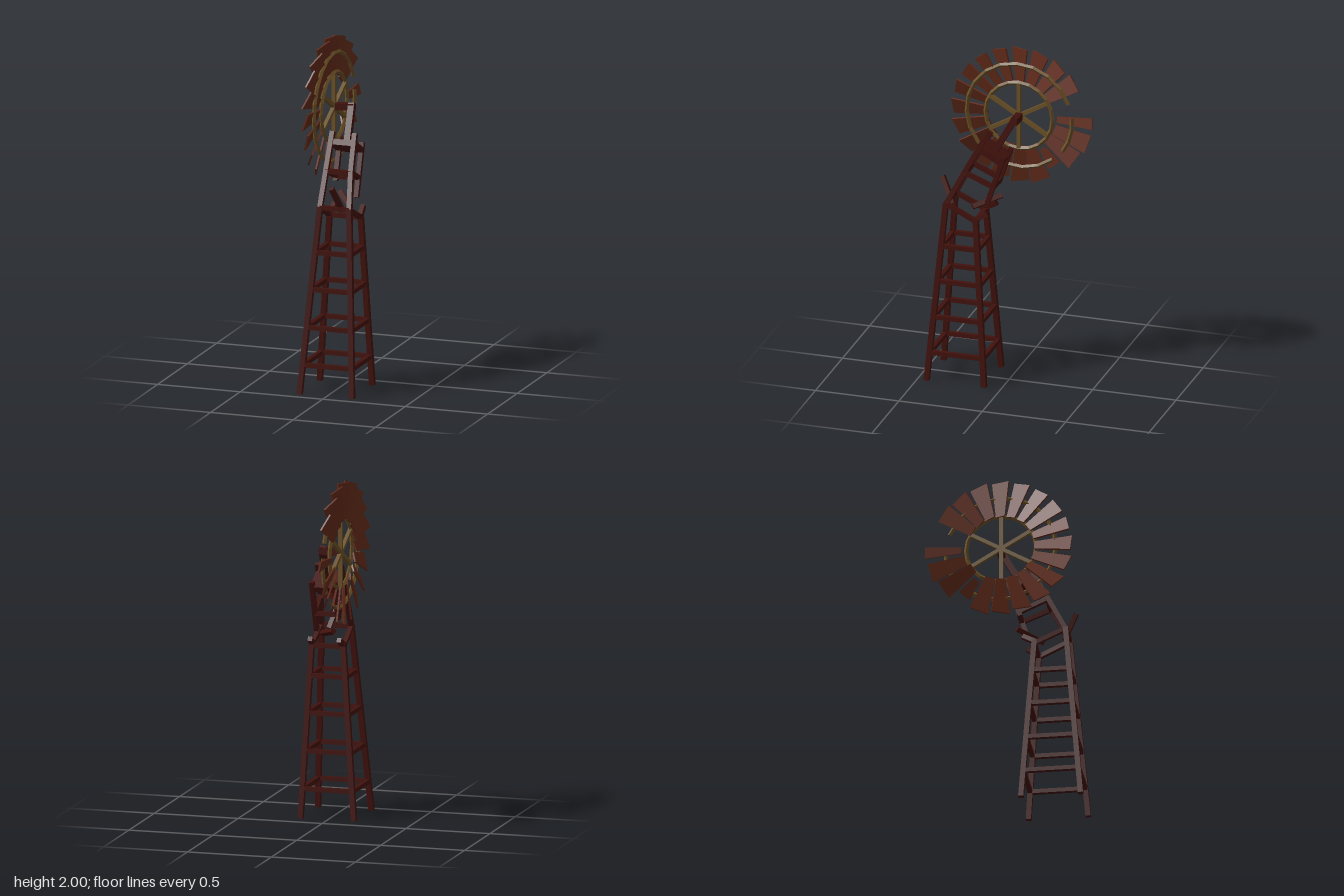
import * as THREE from 'three';

const wood = new THREE.MeshStandardMaterial({ color: 0x41110c, flatShading: true });
const bladeWood = new THREE.MeshStandardMaterial({ color: 0x622a19, flatShading: true });
const brass = new THREE.MeshStandardMaterial({ color: 0x6a5026, flatShading: true });
const UP = new THREE.Vector3(0, 1, 0);
const deg = Math.PI / 180;

// Square timber running from a to b
function beam(parent, name, a, b, w = 0.03, d = w, mat = wood) {
  const p = new THREE.Vector3(...a), q = new THREE.Vector3(...b);
  const dir = q.clone().sub(p);
  const mesh = new THREE.Mesh(new THREE.BoxGeometry(w, dir.length(), d), mat);
  mesh.position.copy(p).add(q).multiplyScalar(0.5);
  mesh.quaternion.setFromUnitVectors(UP, dir.normalize());
  mesh.name = name;
  parent.add(mesh);
  return mesh;
}

// Centre of a tower leg at height y (the tower leans slightly)
function legPoint(left, front, y) {
  return [left ? 0.158 - 0.047 * y : -0.16 + 0.082 * y, y, front ? 0.444 - 0.091 * y : 0.1 + 0.065 * y];
}

function buildTower() {
  const g = new THREE.Group();
  g.name = 'tower';
  for (const left of [true, false]) {
    for (const front of [true, false]) {
      beam(g, 'towerLeg', legPoint(left, front, 0.002), legPoint(left, front, front ? 1.09 : 1.02));
    }
    // Snapped end of each rear leg
    const [x, y, z] = legPoint(left, false, 1.01);
    beam(g, 'snappedLegStub', [x, y, z + 0.005], [x * 0.92, y + 0.04, z - 0.068], 0.027);
  }
  // Rungs on all four sides; the top ring slopes down to the back
  for (const [yf, yb] of [[0.172, 0.172], [0.39, 0.39], [0.61, 0.61], [0.825, 0.825], [1.085, 1.0]]) {
    for (const front of [true, false]) {
      const y = front ? yf : yb;
      beam(g, 'crossRung', legPoint(true, front, y), legPoint(false, front, y), 0.025);
    }
    for (const left of [true, false]) {
      beam(g, 'sideRung', legPoint(left, true, yf), legPoint(left, false, yb), 0.025);
    }
  }
  // Broken timbers resting on the top ring
  beam(g, 'looseStrut', [0.055, 1.07, 0.32], [0.015, 1.215, 0.395], 0.026);
  beam(g, 'fallenStrut', [0.06, 1.065, 0.2], [-0.05, 1.11, 0.06], 0.028);
  return g;
}

function buildHead() {
  const g = new THREE.Group();
  g.name = 'leaningHead';
  for (const left of [true, false]) {
    const x = left ? 0.065 : -0.07;
    const mid = [left ? 0.08 : -0.07, 1.28, 0.243];
    // Front posts bend back from the tower legs
    beam(g, 'frontPost', legPoint(left, true, 1.08), mid, 0.028);
    beam(g, 'frontPost', mid, [x, 1.482, 0.135], 0.028);
    // Rear posts hang free
    beam(g, 'rearPost', [x, 1.4, 0.012], [x, left ? 1.1 : 1.18, left ? 0.11 : 0.085], 0.027);
    beam(g, 'lowerSideRail', mid, [x, 1.205, 0.075], 0.025);
    beam(g, 'upperSideRail', [x, 1.43, 0.16], [x, 1.355, 0.025], 0.028);
  }
  beam(g, 'lowerFrontRail', [0.08, 1.275, 0.243], [-0.07, 1.275, 0.243], 0.027);
  beam(g, 'lowerRearRail', [0.065, 1.205, 0.075], [-0.07, 1.205, 0.075], 0.025);
  // Sloping platform
  beam(g, 'platform', [-0.003, 1.432, 0.168], [-0.003, 1.354, 0.018], 0.155, 0.034);
  // Leaning mast and axle
  beam(g, 'mast', [0.002, 1.385, 0.095], [-0.012, 1.612, -0.032], 0.037);
  beam(g, 'axle', [0.005, 1.595, -0.028], [-0.118, 1.588, -0.026], 0.04);
  return g;
}

// Blade widening towards the tip, centred on its thickness
function bladeGeometry() {
  const s = new THREE.Shape();
  s.moveTo(-0.029, 0.195);
  s.lineTo(0.029, 0.195);
  s.lineTo(0.055, 0.41);
  s.lineTo(-0.055, 0.405);
  s.closePath();
  const geo = new THREE.ExtrudeGeometry(s, { depth: 0.01, bevelEnabled: false });
  geo.translate(0, 0, -0.005);
  return geo.rotateY(Math.PI / 2);
}

function ringArc(parent, name, radius, start, arc) {
  const geo = new THREE.TorusGeometry(radius, 0.0125, 4, Math.max(3, Math.round(arc / 18)), arc * deg);
  const mesh = new THREE.Mesh(geo.rotateZ(start * deg).rotateY(Math.PI / 2), brass);
  mesh.name = name;
  parent.add(mesh);
}

function buildWheel() {
  const g = new THREE.Group();
  g.name = 'windWheel';
  const geo = bladeGeometry();
  for (let i = 0; i < 20; i++) {
    if (i === 4) continue; // missing blade
    const arm = new THREE.Group();
    const blade = new THREE.Mesh(geo, bladeWood);
    arm.name = 'bladeMount';
    blade.name = 'blade';
    // Slightly uneven pitch from blade to blade
    blade.rotation.y = -0.37 + 0.08 * Math.sin(i * 2.3);
    blade.position.x = -0.018;
    // Damaged blades beside the gap
    if (i === 5) { blade.scale.z = 0.6; blade.position.y = 0.03; blade.rotation.y = -0.2; }
    if (i === 6) { blade.position.y = 0.02; blade.rotation.z = 0.04; }
    if (i === 8) { blade.scale.set(1, 0.55, 0.7); blade.position.y = 0.13; }
    arm.rotation.x = -i * 18 * deg;
    arm.add(blade);
    g.add(arm);
  }
  ringArc(g, 'innerRing', 0.203, 0, 360);
  ringArc(g, 'outerRing', 0.317, 20, 290);
  ringArc(g, 'outerRingFragment', 0.322, -35, 40);
  // Three bars make six spokes
  for (const a of [0, 60, 120]) {
    const y = 0.2 * Math.cos(a * deg), z = 0.2 * Math.sin(a * deg);
    beam(g, 'spoke', [0, y, z], [0, -y, -z], 0.022, 0.022, brass);
  }
  g.position.set(-0.117, 1.587, -0.02);
  g.rotation.y = -0.03;
  return g;
}

export function createModel() {
  const model = new THREE.Group();
  model.name = 'brokenWindmill';
  model.add(buildTower(), buildHead(), buildWheel());
  return model;
}
